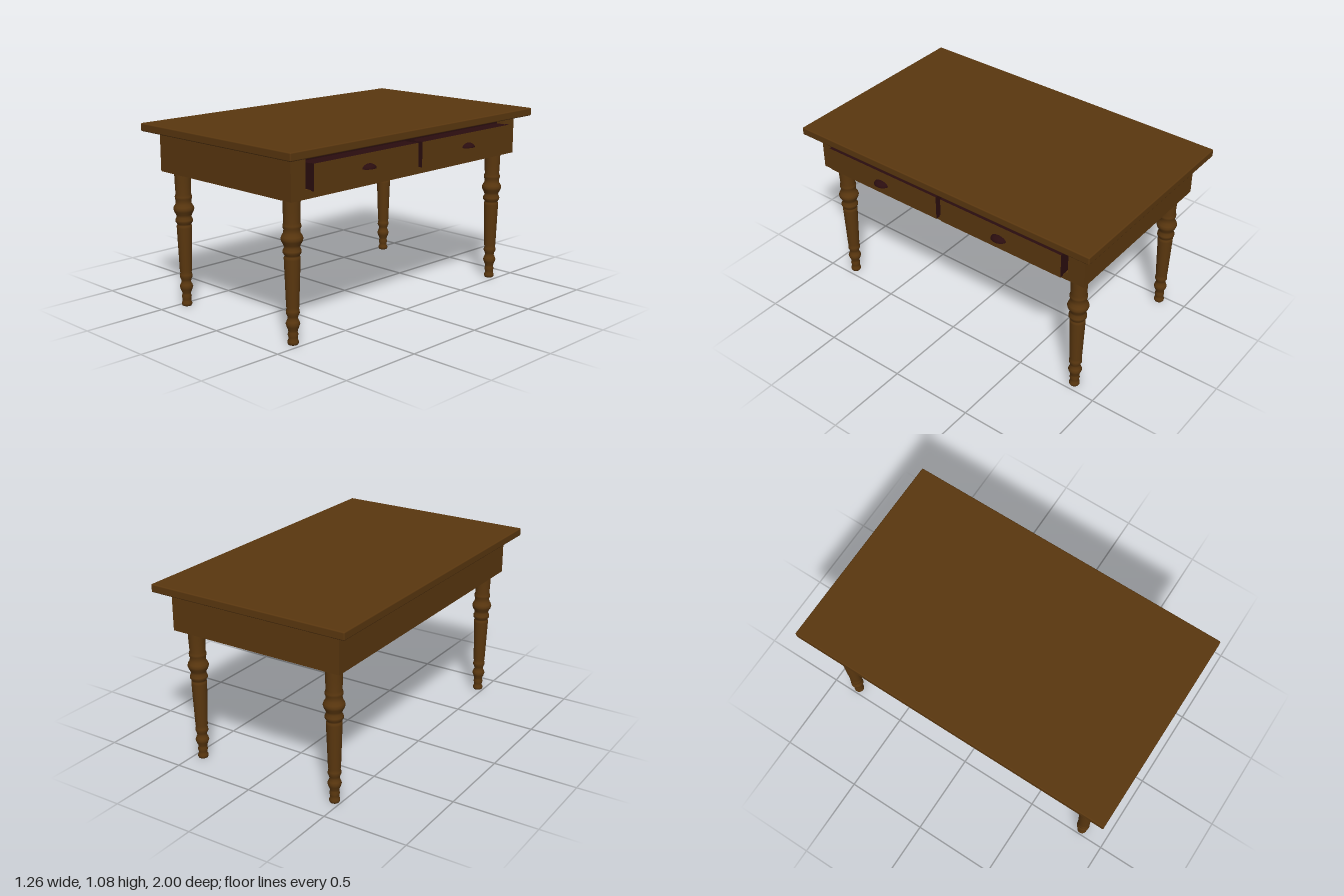
import * as THREE from 'three';
import { RoundedBoxGeometry } from 'three/addons/geometries/RoundedBoxGeometry.js';

export function createModel() {
  const table = new THREE.Group();
  table.name = 'writingTable';

  const wood = new THREE.MeshStandardMaterial({ color: 0x5a370f });
  wood.name = 'brownWood';
  const dark = new THREE.MeshStandardMaterial({ color: 0x2a0d0f });
  dark.name = 'darkMaroon';

  const add = (name, geometry, material, x = 0, y = 0, z = 0) => {
    const mesh = new THREE.Mesh(geometry, material);
    mesh.name = name;
    mesh.position.set(x, y, z);
    table.add(mesh);
    return mesh;
  };
  // Box given by its limits on each axis
  const block = (name, material, [x0, x1], [y0, y1], [z0, z1]) =>
    add(name, new THREE.BoxGeometry(x1 - x0, y1 - y0, z1 - z0), material,
      (x0 + x1) / 2, (y0 + y1) / 2, (z0 + z1) / 2);

  // Table top with softened edges
  add('tableTop', new RoundedBoxGeometry(1.244, 0.047, 2, 2, 0.007), wood, -0.007, 1.0535, 0);

  // Apron: closed underside, back, ends and a drawer opening on the +x side
  const back = -0.55, face = 0.537, low = 0.8, high = 1.031, end = 0.927, open = 0.825;
  block('apronBottom', wood, [back, face], [low, 0.849], [-end, end]);
  block('apronBack', wood, [back, back + 0.04], [0.849, high], [-end, end]);
  for (const s of [-1, 1]) {
    const z = [s * open, s * end].sort((a, b) => a - b);
    block('apronEnd', wood, [back + 0.04, face], [0.849, high], z);
  }
  block('drawerRecess', dark, [back + 0.04, 0.49], [0.849, high], [-open, open]);
  block('drawerDivider', dark, [0.49, 0.532], [0.849, high], [-0.014, 0.014]);

  // Drawers: dark edges, wooden face
  const faceOnly = [wood, dark, dark, dark, dark, dark];
  // Cup pull: upper quarter of an ellipsoid, closed underneath
  const cup = new THREE.SphereGeometry(1, 24, 10, Math.PI / 2, Math.PI, 0, Math.PI / 2);
  const cupBase = new THREE.CircleGeometry(1, 24, -Math.PI / 2, Math.PI);
  for (const s of [-1, 1]) {
    const z = [s * 0.016, s * 0.816].sort((a, b) => a - b);
    block('drawerBody', dark, [0.49, 0.565], [0.852, 0.99], [z[0] + 0.002, z[1] - 0.002]);
    block('drawerFront', faceOnly, [0.565, 0.59], [0.848, 0.993], z);
    const shell = add('drawerPull', cup, dark, 0.59, 0.91, s * 0.417);
    shell.scale.set(0.037, 0.026, 0.048);
    const base = add('drawerPullBase', cupBase, dark, 0.59, 0.91, s * 0.417);
    base.rotation.x = Math.PI / 2;
    base.scale.set(0.037, 0.048, 1);
  }

  // Turned legs
  const profile = [
    [0, 0], [0.026, 0], [0.03, 0.008], [0.03, 0.018], [0.025, 0.028], [0.025, 0.042],
    [0.029, 0.055], [0.025, 0.068], [0.026, 0.08], [0.034, 0.1], [0.039, 0.116],
    [0.034, 0.13], [0.027, 0.145], [0.03, 0.16], [0.037, 0.175], [0.036, 0.19],
    [0.032, 0.2], [0.035, 0.21], [0.044, 0.47], [0.044, 0.482], [0.04, 0.486],
    [0.041, 0.494], [0.05, 0.506], [0.05, 0.518], [0.042, 0.535], [0.046, 0.55],
    [0.056, 0.568], [0.06, 0.582], [0.056, 0.596], [0.046, 0.612], [0.044, 0.632],
    [0.049, 0.643], [0.049, 0.655], [0.044, 0.67], [0.047, 0.74], [0.048, 0.81],
  ].map(([r, y]) => new THREE.Vector2(r, y));
  // -x cap point at the bottom keeps the foot closed
  const legGeometry = new THREE.LatheGeometry(profile, 28);
  for (const x of [-0.463, 0.449])
    for (const z of [-0.843, 0.843]) add('turnedLeg', legGeometry, wood, x, 0, z);

  return table;
}
